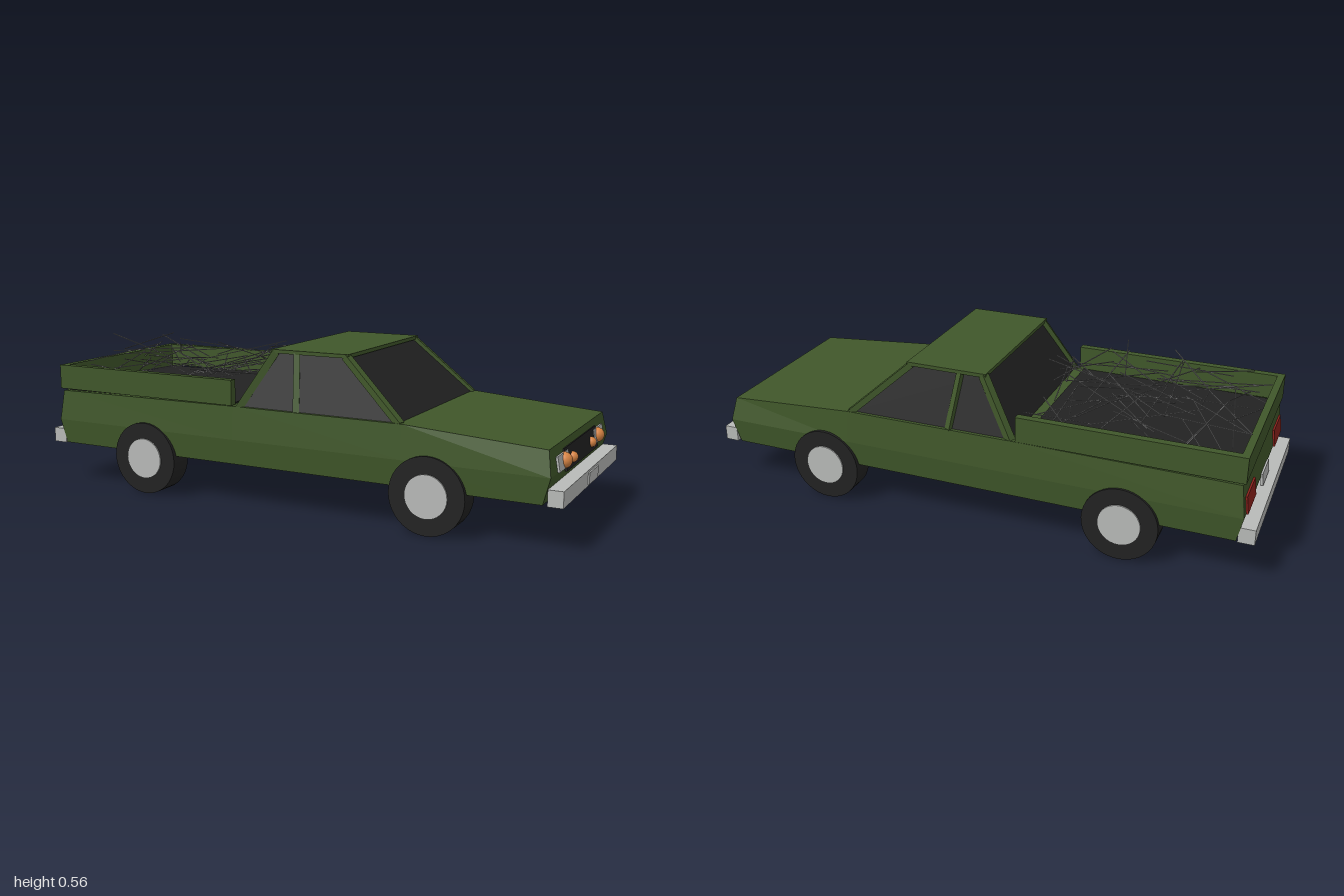
import * as THREE from 'three';

const paint = (name, color) => new THREE.MeshStandardMaterial({ name, color });

export function createModel() {
  const green = paint('green paint', 0x40572a);
  green.flatShading = true;
  const black = paint('black', 0x222222);
  const silver = paint('silver', 0xb8bab8);
  const orange = paint('orange lamp', 0xd98544);
  const red = paint('red lamp', 0x8c221c);
  const grey = paint('straw grey', 0x8c8c8c);

  const model = new THREE.Group();
  model.name = 'pickupTruck';

  function add(name, geometry, material, x = 0, y = 0, z = 0) {
    const mesh = new THREE.Mesh(geometry, material);
    mesh.name = name;
    mesh.position.set(x, y, z);
    model.add(mesh);
    return mesh;
  }
  // box given by its minimum and maximum corners
  const box = (name, material, [x0, y0, z0], [x1, y1, z1]) =>
    add(name, new THREE.BoxGeometry(x1 - x0, y1 - y0, z1 - z0), material,
      (x0 + x1) / 2, (y0 + y1) / 2, (z0 + z1) / 2);
  // square bar between two points
  function bar(name, material, from, to, width, depth = width) {
    const a = new THREE.Vector3(...from), b = new THREE.Vector3(...to);
    const mesh = add(name, new THREE.BoxGeometry(width, depth, a.distanceTo(b)), material);
    mesh.position.copy(a).lerp(b, 0.5);
    mesh.lookAt(b);
    return mesh;
  }

  // Lower body: six-sided sections lofted from tail to nose.
  // Each section lists [x, y, half width] for the sill, waist and shoulder.
  const sections = [
    [[-0.94, 0.15, 0.35], [-0.96, 0.24, 0.36], [-0.945, 0.352, 0.35]],
    [[-0.18, 0.15, 0.35], [-0.18, 0.24, 0.36], [-0.18, 0.358, 0.352]],
    [[0.46, 0.15, 0.35], [0.46, 0.24, 0.36], [0.46, 0.357, 0.352]],
    [[0.93, 0.15, 0.35], [0.955, 0.24, 0.36], [0.94, 0.322, 0.338]],
  ];
  const rings = sections.map(([s, w, t]) => [
    [s[0], s[1], s[2]], [s[0], s[1], -s[2]], [w[0], w[1], -w[2]],
    [t[0], t[1], -t[2]], [t[0], t[1], t[2]], [w[0], w[1], w[2]],
  ]);
  const points = [];
  const quad = (a, b, c, d) => points.push(...a, ...b, ...c, ...a, ...c, ...d);
  for (let k = 0; k < rings.length - 1; k++) {
    const a = rings[k], b = rings[k + 1];
    for (let i = 0; i < 6; i++) {
      const j = (i + 1) % 6;
      quad(a[i], a[j], b[j], b[i]);
    }
  }
  const tail = rings[0], nose = rings[rings.length - 1];
  quad(nose[0], nose[1], nose[2], nose[5]);
  quad(nose[5], nose[2], nose[3], nose[4]);
  quad(tail[5], tail[2], tail[1], tail[0]);
  quad(tail[4], tail[3], tail[2], tail[5]);
  const bodyGeometry = new THREE.BufferGeometry();
  bodyGeometry.setAttribute('position', new THREE.Float32BufferAttribute(points, 3));
  bodyGeometry.computeVertexNormals();
  add('body', bodyGeometry, green);

  // Cab glass: a box narrowed toward the roof
  const glass = new THREE.BoxGeometry(2, 2, 2);
  const p = glass.attributes.position;
  for (let i = 0; i < p.count; i++) {
    const top = p.getY(i) > 0, front = p.getX(i) > 0, side = Math.sign(p.getZ(i));
    p.setXYZ(i,
      top ? (front ? 0.228 : -0.043) : (front ? 0.452 : -0.167),
      top ? 0.55 : 0.352,
      side * (top ? 0.284 : 0.341));
  }
  glass.computeVertexNormals();
  add('cabGlass', glass, black);

  // Roof and pillars
  box('roof', green, [-0.055, 0.547, -0.297], [0.24, 0.56, 0.297]);
  for (const s of [1, -1]) {
    bar('frontPillar', green, [0.45, 0.352, s * 0.338], [0.228, 0.55, s * 0.284], 0.026, 0.022);
    bar('middlePillar', green, [0.065, 0.352, s * 0.339], [0.04, 0.55, s * 0.284], 0.022, 0.022);
    bar('rearPillar', green, [-0.163, 0.352, s * 0.338], [-0.043, 0.55, s * 0.284], 0.026, 0.026);
  }

  // Cargo bed: floor and three walls
  const floor = box('bedFloor', black, [-0.935, 0.353, -0.33], [-0.2, 0.36, 0.33]);
  floor.rotation.z = 0.0078;
  for (const s of [1, -1]) {
    add('bedSide', new THREE.BoxGeometry(0.77, 0.09, 0.028), green, -0.57, 0.405, s * 0.341);
  }
  box('tailgate', green, [-0.955, 0.36, -0.327], [-0.93, 0.45, 0.327]);

  // Loose straws heaped in the bed
  let seed = 17;
  const random = () => (seed = (seed * 16807) % 2147483647) / 2147483647;
  const clamp = THREE.MathUtils.clamp;
  for (let i = 0; i < 60; i++) {
    const x = -0.9 + random() * 0.65, z = (random() - 0.5) * 0.5;
    const y = 0.39 + random() * 0.12;
    const angle = random() * Math.PI * 2, half = 0.12 + random() * 0.09;
    const rise = (random() - 0.5) * 0.1;
    const end = (s) => [
      clamp(x + s * half * Math.cos(angle), -0.95, -0.19),
      clamp(y + s * rise, 0.365, 0.558),
      clamp(z + s * half * Math.sin(angle), -0.322, 0.322),
    ];
    bar('straw', grey, end(-1), end(1), 0.003);
  }

  // Bumpers
  box('frontBumper', silver, [0.945, 0.148, -0.352], [0.995, 0.202, 0.352]);
  box('rearBumper', silver, [-1, 0.148, -0.352], [-0.945, 0.202, 0.352]);
  box('frontPlate', silver, [0.994, 0.154, -0.059], [1, 0.194, 0.059]);

  // Thin plates lying on the sloped nose and tail
  function nosePlate(name, material, y, z, height, width, lift) {
    add(name, new THREE.BoxGeometry(0.008, height, width), material,
      0.955 - 0.18 * (y - 0.24) + lift, y, z).rotation.z = 0.18;
  }
  function tailPlate(name, material, y, z, height, width) {
    add(name, new THREE.BoxGeometry(0.009, height, width), material,
      -0.96 + 0.134 * (y - 0.24) - 0.002, y, z).rotation.z = -0.133;
  }
  nosePlate('grille', black, 0.262, 0, 0.073, 0.396, 0.001);
  tailPlate('rearPlate', silver, 0.228, 0, 0.042, 0.12);
  for (const s of [1, -1]) {
    nosePlate('headlightPanel', silver, 0.265, s * 0.223, 0.05, 0.12, 0.003);
    tailPlate('tailLight', red, 0.27, s * 0.255, 0.062, 0.14);
    add('headlight', new THREE.SphereGeometry(0.026, 24, 16), orange, 0.954, 0.265, s * 0.209);
    add('foglight', new THREE.SphereGeometry(0.018, 20, 14), orange, 0.957, 0.257, s * 0.12);
  }

  // Wheels
  const tyre = new THREE.CylinderGeometry(0.132, 0.132, 0.086, 40).rotateX(Math.PI / 2);
  const hub = new THREE.CylinderGeometry(0.074, 0.074, 0.008, 32).rotateX(Math.PI / 2);
  for (const x of [-0.56, 0.555]) {
    for (const s of [1, -1]) {
      add('tyre', tyre, black, x, 0.132, s * 0.324);
      add('hubcap', hub, silver, x, 0.132, s * 0.368);
    }
  }
  return model;
}
